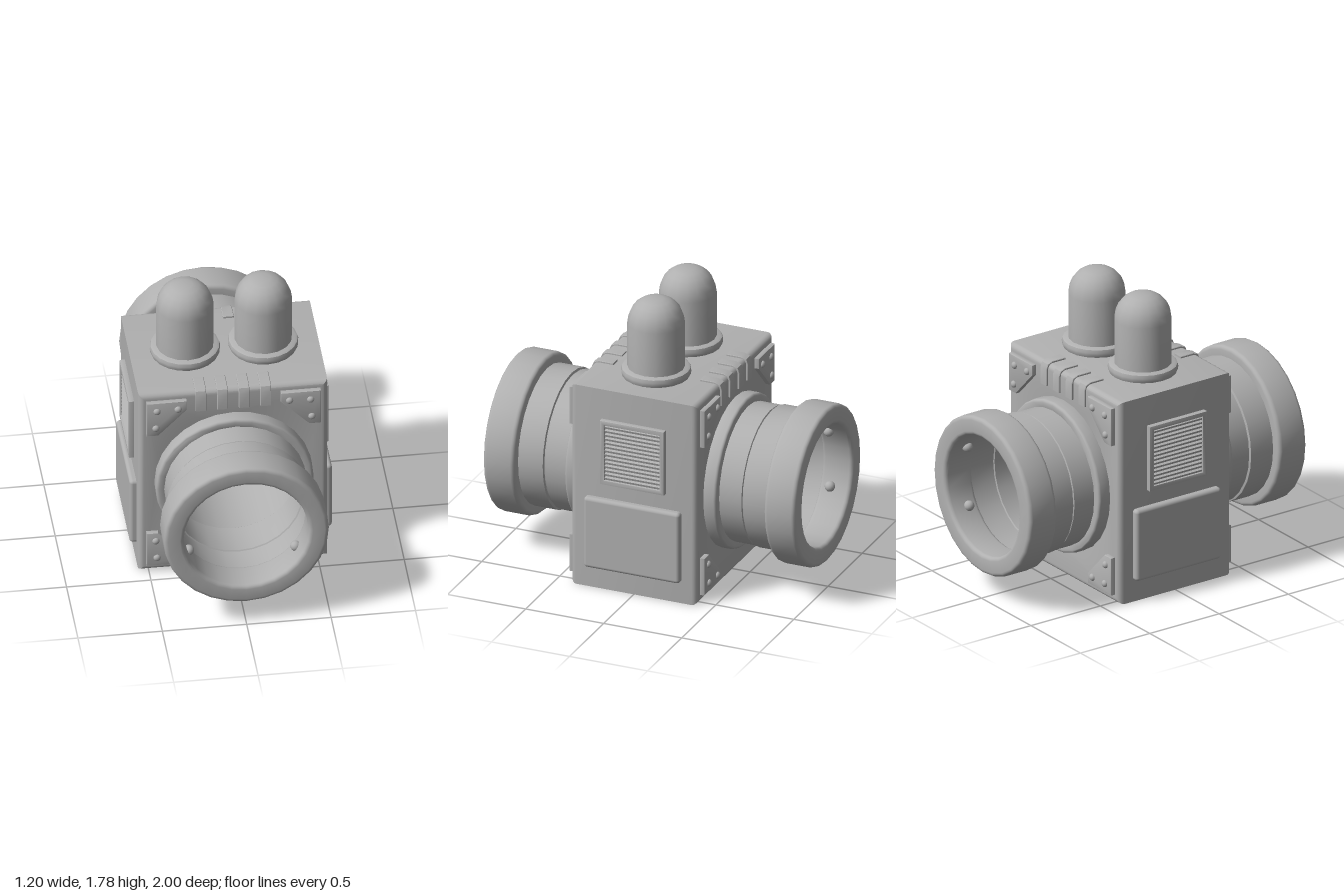
import * as THREE from 'three';
import { toCreasedNormals } from 'three/addons/utils/BufferGeometryUtils.js';
import { RoundedBoxGeometry } from 'three/addons/geometries/RoundedBoxGeometry.js';

const grey = new THREE.MeshStandardMaterial({ color: 0xb0b0b0 });
grey.name = 'grey metal';
const AXIS_Y = 0.65;

function add(parent, name, geometry, x = 0, y = 0, z = 0) {
  const mesh = new THREE.Mesh(geometry, grey);
  mesh.name = name;
  mesh.position.set(x, y, z);
  parent.add(mesh);
  return mesh;
}

const crease = (g) => toCreasedNormals(g, 0.6);
const lathe = (pts, n) => crease(new THREE.LatheGeometry(pts.map((p) => new THREE.Vector2(...p)), n));
const rounded = (w, h, d, r) => new RoundedBoxGeometry(w, h, d, 3, r);

// Closed ring section with rounded corners: outside goes up, inside goes down
function ringGeometry(inner, outer, y0, y1, r) {
  const pts = [];
  const corners = [[outer - r, y0 + r, -90], [outer - r, y1 - r, 0], [inner + r, y1 - r, 90], [inner + r, y0 + r, 180]];
  for (const [cx, cy, start] of corners) {
    for (let i = 0; i <= 4; i++) {
      const a = THREE.MathUtils.degToRad(start + i * 22.5);
      pts.push([cx + r * Math.cos(a), cy + r * Math.sin(a)]);
    }
  }
  pts.push(pts[0]);
  return lathe(pts, 28);
}

function extrude(shape, depth, bevel, segments) {
  const g = new THREE.ExtrudeGeometry(shape, {
    depth: depth - 2 * bevel, bevelThickness: bevel, bevelSize: bevel, bevelSegments: segments, curveSegments: 28,
  });
  g.translate(0, 0, bevel - depth / 2);
  return crease(g);
}

function rectangle(w, h) {
  return new THREE.Shape([
    new THREE.Vector2(-w / 2, -h / 2), new THREE.Vector2(w / 2, -h / 2),
    new THREE.Vector2(w / 2, h / 2), new THREE.Vector2(-w / 2, h / 2),
  ]);
}

function addBody(model) {
  const shape = rectangle(1.05, 1.22);
  const hole = new THREE.Path();
  hole.absarc(0, 0, 0.455, 0, Math.PI * 2, true);
  shape.holes.push(hole);
  add(model, 'body', extrude(shape, 0.81, 0.035, 4), 0, 0.645, 0);
}

function addTunnel(model) {
  const tunnel = new THREE.Group();
  tunnel.name = 'tunnel';
  tunnel.position.y = AXIS_Y;
  model.add(tunnel);

  // Through tube with narrow grooves outside and shallow steps inside
  const outside = [[0.42, 0.4], [0.42, 0.628], [0.412, 0.632], [0.412, 0.638], [0.427, 0.642], [0.427, 0.82]];
  const inside = [[0.385, 0.82], [0.385, 0.64], [0.378, 0.635], [0.378, 0.42], [0.385, 0.41]];
  const flip = (list) => list.map(([r, z]) => [r, -z]).reverse();
  const profile = [...flip(outside), ...outside, ...inside, ...flip(inside)];
  profile.push(profile[0]);
  add(tunnel, 'tube', lathe(profile, 28)).rotation.x = Math.PI / 2;

  for (const s of [-1, 1]) {
    add(tunnel, 'endRim', ringGeometry(0.37, 0.49, -0.1, 0.1, 0.025), 0, 0, s * 0.9).rotation.x = Math.PI / 2;
    add(tunnel, 'flange', ringGeometry(0.4, 0.468, -0.048, 0.048, 0.018), 0, 0, s * 0.438).rotation.x = Math.PI / 2;
    // Rivets around the bore
    const rivets = [28, 88, 147, 207, 327].map((a) => [a, 0.87]);
    rivets.push([s > 0 ? 207 : 165, 0.45]);
    for (const [deg, z] of rivets) {
      const a = THREE.MathUtils.degToRad(deg);
      add(tunnel, 'boreRivet', new THREE.SphereGeometry(0.032, 14, 10), 0.366 * Math.cos(a), 0.366 * Math.sin(a), s * z);
    }
  }
}

function addDomes(model) {
  const base = [[0, 1.28], [0.195, 1.28], [0.205, 1.3], [0.208, 1.32], [0.203, 1.338], [0.19, 1.345], [0, 1.345]];
  const dome = [[0.17, 1.33], [0.17, 1.625], [0.163, 1.67], [0.147, 1.71], [0.12, 1.745], [0.085, 1.769], [0.045, 1.78], [0, 1.78]];
  for (const s of [-1, 1]) {
    add(model, 'domeBase', lathe(base, 20), s * 0.232);
    add(model, 'dome', lathe(dome, 16), s * 0.232);
  }
}

function addCornerPlates(model) {
  const outline = [[0.51, 0.59], [0.285, 0.59], [0.285, 0.535], [0.45, 0.365], [0.51, 0.365]];
  const studs = [[0.455, 0.538], [0.33, 0.542], [0.462, 0.415]];
  for (const sz of [-1, 1]) for (const sx of [-1, 1]) for (const sy of [-1, 1]) {
    const shape = new THREE.Shape(outline.map(([x, y]) => new THREE.Vector2(sx * x, sy * y)));
    add(model, 'cornerPlate', extrude(shape, 0.04, 0.006, 2), 0, AXIS_Y, sz * 0.415);
    for (const [x, y] of studs) {
      const stud = add(model, 'cornerRivet', new THREE.SphereGeometry(0.022, 12, 8), sx * x, AXIS_Y + sy * y, sz * 0.435);
      stud.scale.z = 0.8;
    }
  }
}

// Bands folded over the top edges
function addClips(model) {
  const profile = [[0.28, 1.27], [0.28, 1.298], [0.37, 1.298], [0.402, 1.285], [0.414, 1.255], [0.414, 1.155], [0.39, 1.155], [0.39, 1.27]];
  for (const s of [-1, 1]) {
    const shape = new THREE.Shape(profile.map(([z, y]) => new THREE.Vector2(s * z, y)));
    for (const x of [-0.192, -0.064, 0.064, 0.192]) {
      const clip = add(model, 'edgeClip', extrude(shape, 0.064, 0.003, 1), x);
      clip.rotation.y = -Math.PI / 2;
    }
  }
}

function addSidePanels(model) {
  const frame = rectangle(0.4, 0.4);
  const opening = new THREE.Path(rectangle(0.365, 0.365).getPoints().reverse());
  frame.holes.push(opening);
  for (const s of [-1, 1]) {
    // Louvred vent
    add(model, 'ventFrame', extrude(frame, 0.05, 0.006, 2), s * 0.567, 0.895, 0).rotation.y = Math.PI / 2;
    for (let i = 0; i < 14; i++) {
      const slat = add(model, 'ventSlat', new THREE.BoxGeometry(0.028, 0.015, 0.36), s * 0.568, 0.73 + i * 0.0254, 0);
      slat.rotation.z = -s * 0.35;
    }
    // Plain cover below it
    add(model, 'sideCover', rounded(0.08, 0.455, 0.615, 0.022), s * 0.56, 0.363, 0);
  }
}

export function createModel() {
  const model = new THREE.Group();
  model.name = 'tunnelBox';
  addBody(model);
  addTunnel(model);
  addDomes(model);
  addCornerPlates(model);
  addClips(model);
  addSidePanels(model);
  return model;
}
